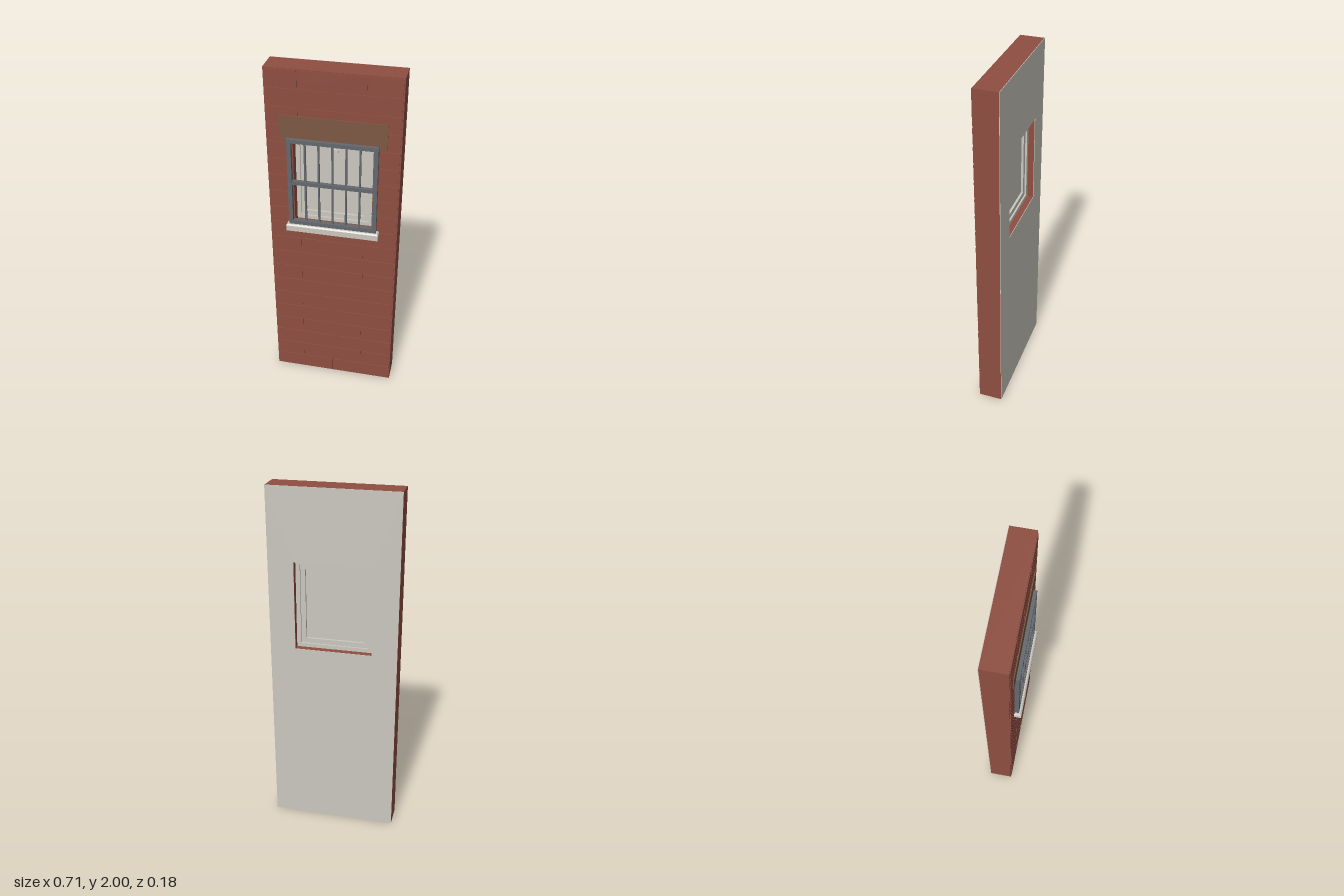
import * as THREE from 'three';

const mat = (name, color, extra = {}) => Object.assign(new THREE.MeshStandardMaterial({ color }), { name }, extra);

export function createModel() {
  const root = new THREE.Group();
  root.name = 'barredWindowWall';
  const brick = mat('brick red', 0x8f4e41);
  const pale = mat('pale plaster', 0xcbc8bf);
  const iron = mat('iron grey', 0x64696e);
  const brown = mat('lintel brown', 0x7d5843);

  const W = 0.357, HX = 0.214, Y0 = 1.1, Y1 = 1.6; // wall half width, window opening

  const add = (parent, name, geo, m) => {
    const mesh = new THREE.Mesh(geo, m);
    mesh.name = name;
    parent.add(mesh);
    return mesh;
  };
  // box given by its limits on each axis
  const box = (parent, name, m, x0, x1, y0, y1, z0, z1) => {
    const mesh = add(parent, name, new THREE.BoxGeometry(x1 - x0, y1 - y0, z1 - z0), m);
    mesh.position.set((x0 + x1) / 2, (y0 + y1) / 2, (z0 + z1) / 2);
    return mesh;
  };
  // rectangular slab with a rectangular hole
  const ring = (parent, name, m, [ax, ay0, ay1], [bx, by0, by1], z0, z1) => {
    const s = new THREE.Shape([[-ax, ay0], [ax, ay0], [ax, ay1], [-ax, ay1]].map(p => new THREE.Vector2(...p)));
    s.holes.push(new THREE.Path([[-bx, by0], [-bx, by1], [bx, by1], [bx, by0]].map(p => new THREE.Vector2(...p))));
    const geo = new THREE.ExtrudeGeometry(s, { depth: z1 - z0, bevelEnabled: false });
    geo.translate(0, 0, z0);
    return add(parent, name, geo, m);
  };

  // wall core and inner plaster
  ring(root, 'wallCore', brick, [W, 0, 2], [HX, Y0, Y1], -0.087, 0.047);
  ring(root, 'plasterBack', pale, [W, 0, 2], [HX, Y0, Y1], -0.09, -0.087);

  // running-bond brick faces, cut away around the opening
  const bricks = new THREE.Group();
  bricks.name = 'brickCourses';
  root.add(bricks);
  const gap = 0.007;
  for (let row = 0; row < 20; row++) {
    const y0 = row * 0.1 + 0.007, y1 = row * 0.1 + 0.094;
    const joints = row % 2 ? [-W, -0.178, 0.178, W] : [-W, 0, W];
    for (let i = 0; i < joints.length - 1; i++) {
      const a = joints[i] + gap, b = joints[i + 1] - gap;
      const spans = row >= 11 && row < 16
        ? [[a, Math.min(b, -HX)], [Math.max(a, HX), b]]
        : [[a, b]];
      for (const [x0, x1] of spans)
        if (x1 - x0 > 0.005) box(bricks, 'brick', brick, x0, x1, y0, y1, 0.046, 0.051);
    }
  }

  // lintel above the opening
  box(root, 'lintel', brown, -0.285, 0.285, 1.605, 1.75, 0.046, 0.056);

  // sill with chamfered upper edges
  const sill = box(root, 'sill', pale, -0.257, 0.257, 1.065, 1.098, 0.046, 0.09);
  sill.name = 'sillBody';
  const cap = box(root, 'sillCap', pale, -0.257, 0.257, 1.098, 1.105, 0.046, 0.09);
  const p = cap.geometry.attributes.position;
  for (let i = 0; i < p.count; i++) {
    if (p.getY(i) < 0) continue;
    p.setX(i, p.getX(i) - Math.sign(p.getX(i)) * 0.006);
    if (p.getZ(i) > 0) p.setZ(i, p.getZ(i) - 0.006);
  }
  cap.geometry.computeVertexNormals();

  // stepped window frame, sash and closed panel
  const win = new THREE.Group();
  win.name = 'window';
  root.add(win);
  ring(win, 'windowFrame', pale, [HX, Y0, Y1], [0.19, 1.122, 1.577], -0.053, 0);
  ring(win, 'windowSash', pale, [0.19, 1.122, 1.577], [0.163, 1.15, 1.55], -0.043, -0.01);
  box(win, 'windowPanel', pale, -0.163, 0.163, 1.15, 1.55, -0.03, -0.022);
  box(win, 'windowLatch', pale, -0.018, 0.018, 1.53, 1.545, -0.022, -0.008);

  // iron grille
  const grille = new THREE.Group();
  grille.name = 'grille';
  root.add(grille);
  ring(grille, 'grilleFrame', iron, [0.243, 1.105, 1.625], [0.22, 1.127, 1.603], 0.047, 0.075);
  box(grille, 'grilleRail', iron, -0.22, 0.22, 1.355, 1.376, 0.052, 0.074);
  for (let i = -2; i <= 2; i++)
    box(grille, 'grilleBar', iron, i * 0.074 - 0.005, i * 0.074 + 0.005, 1.127, 1.603, 0.057, 0.067);

  return root;
}
